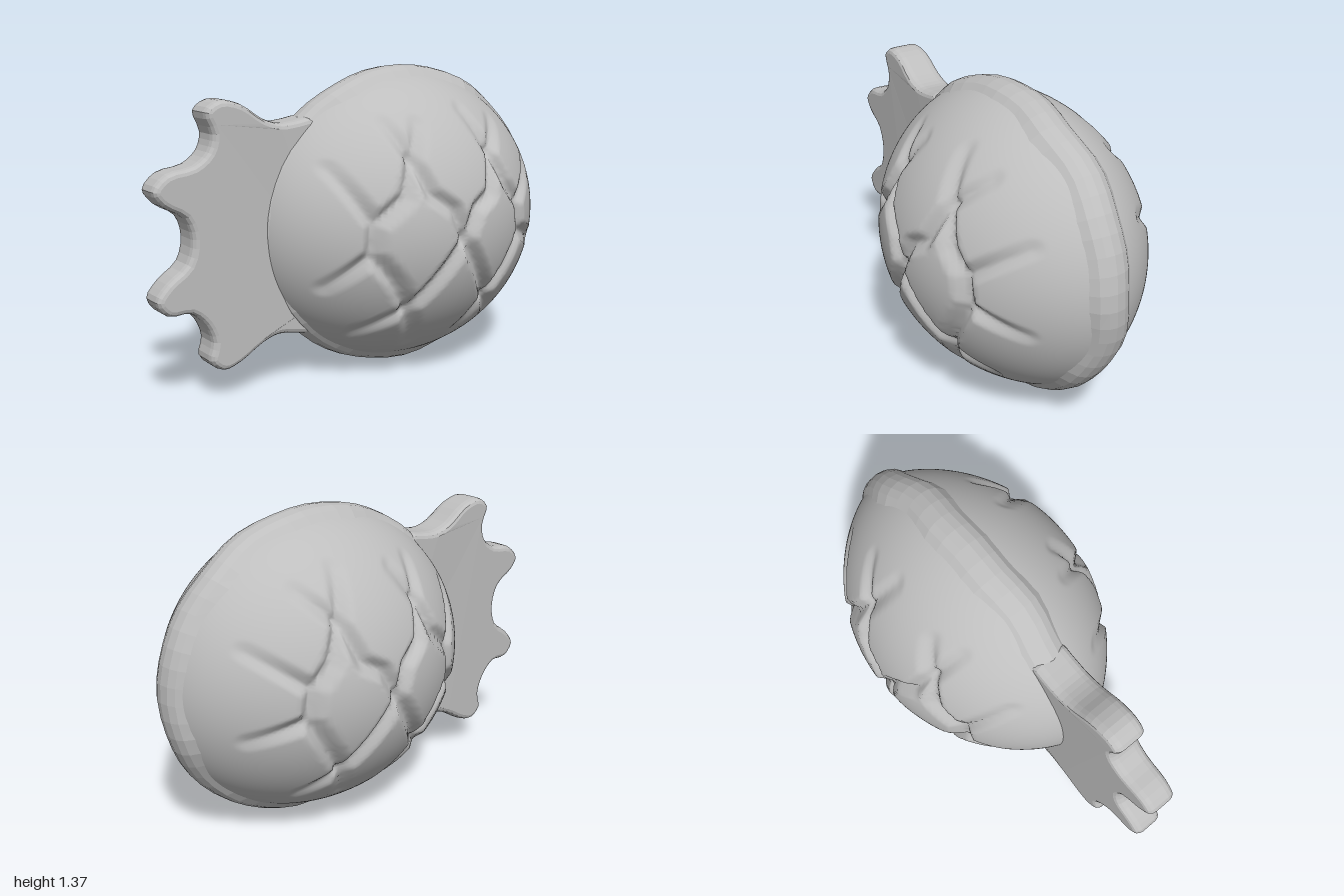
import * as THREE from 'three';

const CX = 0.24, CY = 0.685;            // centre of the fruit
const RX_LEAF = 0.755, RX_TIP = 0.735, RY = 0.66, RZ = 0.535;

// Carved groove network on each face: [x1, y1, x2, y2, end taper]
const GROOVES = [
  [0.01, 1.0, -0.05, 0.86, 0], [-0.05, 0.86, -0.18, 0.75, 0],
  [0.01, 1.0, 0.06, 0.86, 0], [0.06, 0.86, 0.16, 0.79, 0], [0.16, 0.79, 0.21, 0.66, 0],
  [0.43, 1.0, 0.37, 0.84, 0], [0.37, 0.84, 0.28, 0.79, 0], [0.28, 0.79, 0.21, 0.66, 0],
  [0.43, 1.0, 0.5, 0.86, 0], [0.5, 0.86, 0.58, 0.77, 0],
  [-0.18, 0.75, -0.19, 0.62, 0], [0.58, 0.77, 0.6, 0.64, 0],
  [-0.19, 0.62, -0.09, 0.5, 0], [-0.09, 0.5, 0, 0.36, 0], [0.21, 0.66, 0, 0.36, 0],
  [0.21, 0.66, 0.42, 0.36, 0], [0.6, 0.64, 0.52, 0.51, 0], [0.52, 0.51, 0.42, 0.36, 0],
  [-0.18, 0.75, -0.3, 0.97, 1], [0.01, 1.0, -0.04, 1.14, 1], [0.01, 1.0, 0.09, 1.14, 1],
  [0.43, 1.0, 0.36, 1.18, 1], [0.43, 1.0, 0.54, 1.12, 1], [0.58, 0.77, 0.77, 0.92, 1],
  [0.6, 0.64, 0.79, 0.56, 1], [-0.19, 0.62, -0.33, 0.48, 1], [0, 0.36, -0.16, 0.25, 1],
  [0, 0.36, 0.1, 0.17, 1], [0.42, 0.36, 0.35, 0.2, 1], [0.42, 0.36, 0.54, 0.25, 1],
];
const PITS = [[0.01, 1], [0.43, 1], [0.21, 0.66], [0, 0.36], [0.42, 0.36]];

// Depth of the carving at a point of the face
function grooveDepth(x, y) {
  let depth = 0;
  for (const [x1, y1, x2, y2, taper] of GROOVES) {
    const dx = x2 - x1, dy = y2 - y1;
    const t = THREE.MathUtils.clamp(((x - x1) * dx + (y - y1) * dy) / (dx * dx + dy * dy), 0, 1);
    const d = Math.hypot(x - x1 - t * dx, y - y1 - t * dy);
    const v = 0.042 * Math.max(0, 1 - d / 0.045);
    depth = Math.max(depth, v * (1 - 0.6 * taper * t));
  }
  for (const [px, py] of PITS) depth += 0.02 * Math.max(0, 1 - Math.hypot(x - px, y - py) / 0.035);
  return depth;
}

function facet(geometry) {
  const g = geometry.index ? geometry.toNonIndexed() : geometry;
  g.computeVertexNormals();
  return g;
}

// One domed half of the fruit, a square grid wrapped onto a disc; side = +1 front, -1 back
function halfBody(side) {
  const n = 120, w = n + 1, pos = [], idx = [];
  for (let i = 0; i <= n; i++) for (let j = 0; j <= n; j++) {
    const s = 2 * j / n - 1, t = 2 * i / n - 1;
    const m = Math.max(Math.abs(s), Math.abs(t));
    // angle runs evenly along each square ring
    let a = 0;
    if (m > 0) {
      if (Math.abs(s) >= Math.abs(t)) a = (Math.PI / 4) * (t / s) + (s < 0 ? Math.PI : 0);
      else a = Math.PI / 2 - (Math.PI / 4) * (s / t) + (t < 0 ? Math.PI : 0);
    }
    const u = m * Math.PI / 2, r = Math.sin(u), c = Math.cos(a);
    const x = CX + (c < 0 ? RX_LEAF : RX_TIP) * r * c, y = CY + RY * r * Math.sin(a);
    const z = RZ * Math.pow(Math.max(0, Math.cos(u)), 1.3);
    pos.push(x, y, side * Math.max(0, z - grooveDepth(x, y) * 1.1));
  }
  for (let i = 0; i < n; i++) for (let j = 0; j < n; j++) {
    const a = i * w + j, b = a + 1, c = b + w, d = a + w;
    // diagonals run outward from the centre in every quadrant
    const quad = (i < n / 2) === (j < n / 2) ? [a, b, c, a, c, d] : [a, b, d, b, c, d];
    if (side < 0) quad.reverse();
    idx.push(...quad);
  }
  const g = new THREE.BufferGeometry();
  g.setAttribute('position', new THREE.Float32BufferAttribute(pos, 3));
  g.setIndex(idx);
  g.computeVertexNormals();
  return g;
}

// Raised, slightly wavy seam around the widest line of the fruit
function seamRim() {
  const profile = [[0.9, -0.13], [0.97, -0.075], [0.992, -0.04], [1, 0.005],
    [0.992, 0.045], [0.97, 0.08], [0.9, 0.13]].map(([r, z]) => new THREE.Vector2(r, z));
  const g = new THREE.LatheGeometry(profile, 56);
  g.rotateX(Math.PI / 2);
  g.scale(0.76, 0.685, 0.9);
  const p = g.attributes.position;
  for (let i = 0; i < p.count; i++) {
    const a = Math.atan2(p.getY(i), p.getX(i));
    p.setZ(i, p.getZ(i) + 0.007 * Math.sin(a * 7) + 0.005 * Math.cos(a * 12));
  }
  g.translate(CX, CY, 0);
  return facet(g);
}

// Flat four-lobed leaf crown
function crown() {
  const pts = [[-0.26, 1.165], [-0.34, 1.16], [-0.42, 1.155], [-0.5, 1.18], [-0.6, 1.245],
    [-0.7, 1.265], [-0.765, 1.22], [-0.735, 1.13], [-0.755, 1.06], [-0.82, 1.01],
    [-0.94, 0.985], [-1, 0.92], [-0.96, 0.86], [-0.865, 0.8], [-0.835, 0.71], [-0.86, 0.61],
    [-0.95, 0.54], [-1, 0.47], [-0.95, 0.405], [-0.85, 0.4], [-0.785, 0.34],
    [-0.755, 0.26], [-0.77, 0.18], [-0.71, 0.13], [-0.63, 0.15], [-0.52, 0.215],
    [-0.44, 0.24], [-0.34, 0.225], [-0.26, 0.22], [-0.12, 0.4], [-0.12, 1.0]];
  const curve = new THREE.CatmullRomCurve3(pts.map(([x, y]) => new THREE.Vector3(x, y, 0)), true);
  const shape = new THREE.Shape(curve.getPoints(93).slice(0, -1).map(v => new THREE.Vector2(v.x, v.y)));
  const g = new THREE.ExtrudeGeometry(shape, {
    depth: 0.08, bevelThickness: 0.035, bevelSize: 0.025, bevelOffset: -0.025, bevelSegments: 3,
  });
  g.translate(0, 0, -0.04);
  // slightly thinner towards the leaf tips
  const p = g.attributes.position;
  for (let i = 0; i < p.count; i++) {
    const t = THREE.MathUtils.clamp((-0.5 - p.getX(i)) / 0.5, 0, 1);
    p.setZ(i, p.getZ(i) * (1.12 - 0.2 * t) - 0.008);
  }
  return facet(g);
}

export function createModel() {
  const group = new THREE.Group();
  group.name = 'fruit';
  const grey = new THREE.MeshStandardMaterial({ color: 0xbebebe });
  grey.name = 'grey';
  const add = (name, geometry) => {
    const mesh = new THREE.Mesh(geometry, grey);
    mesh.name = name;
    group.add(mesh);
  };
  add('bodyFront', halfBody(1));
  add('bodyBack', halfBody(-1));
  add('seamRim', seamRim());
  add('leafCrown', crown());
  return group;
}
